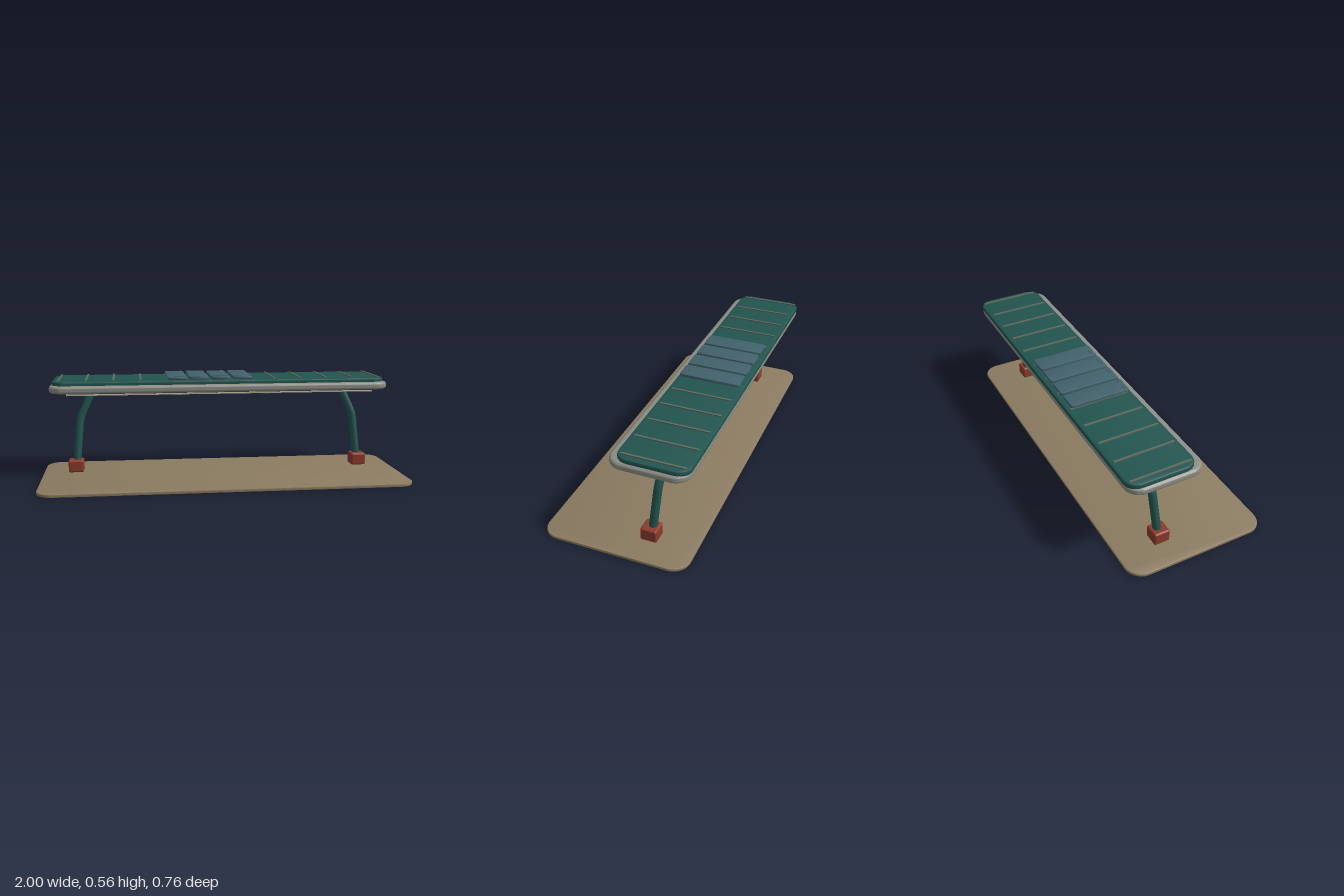
import * as THREE from 'three';
import { toCreasedNormals } from 'three/addons/utils/BufferGeometryUtils.js';
import { RoundedBoxGeometry } from 'three/addons/geometries/RoundedBoxGeometry.js';

const material = (name, color) => {
  const m = new THREE.MeshStandardMaterial({ color });
  m.name = name;
  return m;
};

// Horizontal rounded plate with bevelled rims, given by its outer limits
function plateGeometry(w, d, h, radius, bevel, segments = 2) {
  const x = w / 2 - bevel, y = d / 2 - bevel, r = radius - bevel;
  const s = new THREE.Shape();
  s.moveTo(-x + r, -y);
  s.lineTo(x - r, -y);
  s.absarc(x - r, -y + r, r, -Math.PI / 2, 0);
  s.lineTo(x, y - r);
  s.absarc(x - r, y - r, r, 0, Math.PI / 2);
  s.lineTo(-x + r, y);
  s.absarc(-x + r, y - r, r, Math.PI / 2, Math.PI);
  s.lineTo(-x, -y + r);
  s.absarc(-x + r, -y + r, r, Math.PI, Math.PI * 1.5);
  const g = new THREE.ExtrudeGeometry(s, {
    depth: h - 2 * bevel, bevelEnabled: true, bevelSize: bevel,
    bevelThickness: bevel, bevelSegments: segments, curveSegments: 8,
  });
  g.translate(0, 0, bevel - h / 2);
  g.rotateX(-Math.PI / 2);
  return toCreasedNormals(g, 0.6);
}

export function createModel() {
  const model = new THREE.Group();
  model.name = 'shelter';
  const sand = material('sand', 0x8b7b61);
  const teal = material('teal', 0x22544f);
  const grey = material('warm grey', 0x8c8e85);
  const blue = material('slate blue', 0x42626c);
  const brick = material('brick red', 0x8c3a2b);
  const seamGrey = material('seam green grey', 0x5c6b60);
  const cream = material('cream', 0xb5ab90);

  const add = (name, geometry, mat, x, y, z) => {
    const mesh = new THREE.Mesh(geometry, mat);
    mesh.name = name;
    mesh.position.set(x, y, z);
    model.add(mesh);
    return mesh;
  };

  // Ground plate
  add('base', plateGeometry(2, 0.76, 0.017, 0.09, 0.005), sand, 0, 0.0085, 0);

  // Feet and bent posts, mirrored
  for (const side of [1, -1]) {
    const label = side > 0 ? 'left' : 'right';
    add(label + 'Foot', new RoundedBoxGeometry(0.085, 0.07, 0.087, 2, 0.01), brick,
      side * 0.82, 0.05, -0.139);
    const p = (x, y, z) => new THREE.Vector3(side * x, y, z);
    const path = new THREE.CurvePath();
    path.add(new THREE.LineCurve3(p(0.817, 0.06, -0.144), p(0.796, 0.285, -0.166)));
    path.add(new THREE.QuadraticBezierCurve3(p(0.796, 0.285, -0.166),
      p(0.793, 0.315, -0.169), p(0.781, 0.342, -0.172)));
    path.add(new THREE.LineCurve3(p(0.781, 0.342, -0.172), p(0.712, 0.495, -0.187)));
    add(label + 'Post', new THREE.TubeGeometry(path, 32, 0.0215, 16), teal, 0, 0, 0);
  }

  // Roof: grey tray with teal deck on top
  add('roofTray', plateGeometry(1.9, 0.402, 0.04, 0.08, 0.014, 3), grey, 0, 0.498, -0.171);
  add('roofDeck', plateGeometry(1.875, 0.365, 0.031, 0.07, 0.01), teal, 0, 0.5245, -0.1925);

  // Raised seams across the deck
  const seam = new THREE.BoxGeometry(0.011, 0.01, 0.322);
  for (let i = -6; i <= 6; i++) add('roofSeam', seam, seamGrey, i * 0.15, 0.541, -0.194);

  // Four roof panels, each with a slim front strip
  const panel = plateGeometry(0.108, 0.328, 0.017, 0.014, 0.005);
  const strip = new THREE.BoxGeometry(0.09, 0.004, 0.005);
  for (let i = 0; i < 4; i++) {
    const x = -0.249 + i * 0.1225;
    add('roofPanel', panel, blue, x, 0.551, -0.185);
    add('panelStrip', strip, blue, x, 0.5595, -0.043);
  }

  // Light strip and two round lamps under the front edge
  add('lightStrip', new THREE.BoxGeometry(1.71, 0.006, 0.019), cream, 0, 0.469, -0.0025);
  for (const x of [-0.25, 0.245]) {
    add('lamp', new THREE.CylinderGeometry(0.025, 0.025, 0.006, 20), blue, x, 0.463, -0.033);
  }
  return model;
}
